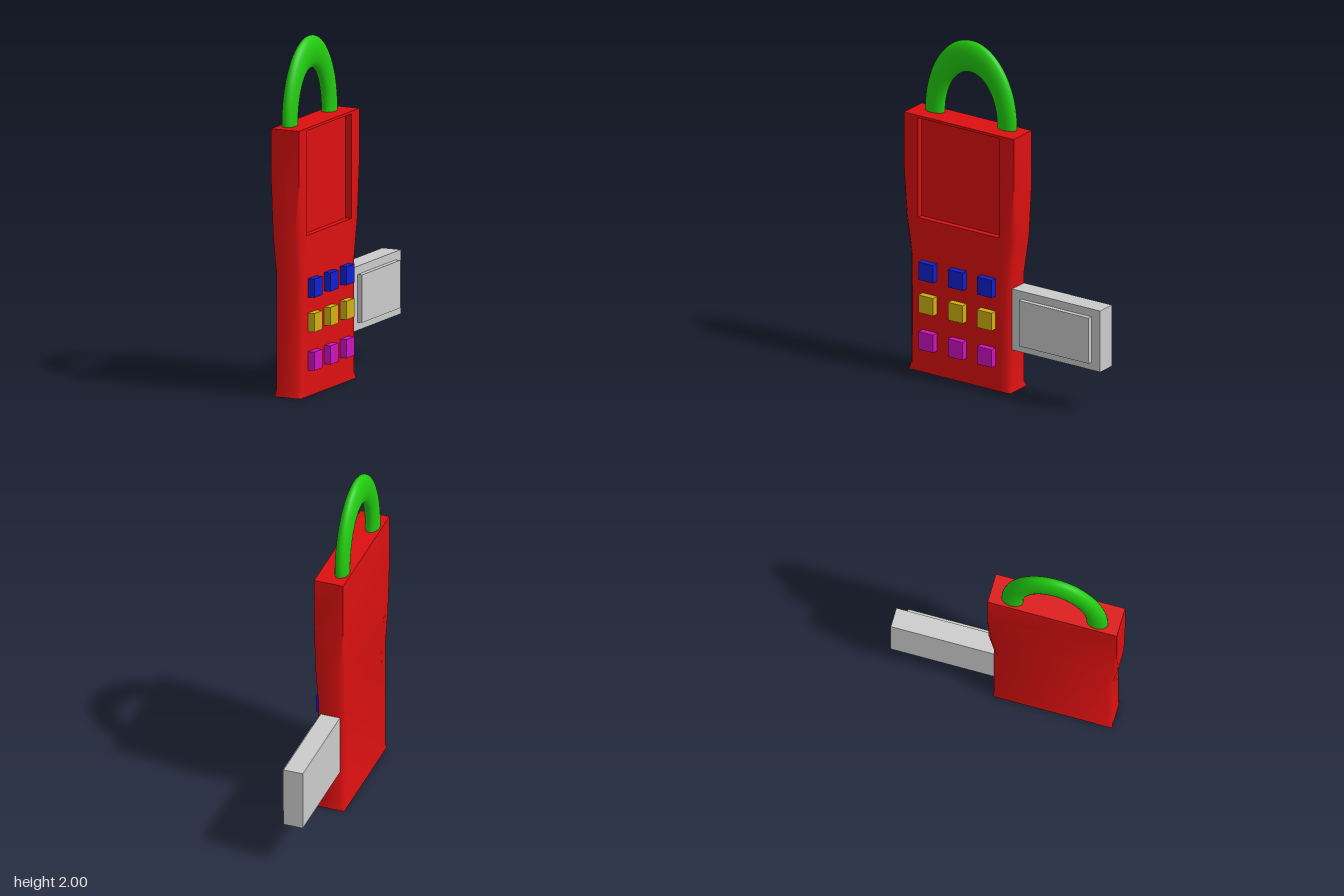
import * as THREE from 'three';
import { toCreasedNormals } from 'three/addons/utils/BufferGeometryUtils.js';

const mat = (color, extra = {}) => new THREE.MeshStandardMaterial({ color, ...extra });

function box(name, material, x0, x1, y0, y1, z0, z1) {
  const mesh = new THREE.Mesh(new THREE.BoxGeometry(x1 - x0, y1 - y0, z1 - z0), material);
  mesh.position.set((x0 + x1) / 2, (y0 + y1) / 2, (z0 + z1) / 2);
  mesh.name = name;
  return mesh;
}

// One horizontal ring of the body: c is the corner chamfer, d the screen recess depth
function ring({ y, xb, xf, z0, z1, c = 0, d = 0 }) {
  return [
    [xf, z1 - c], [xf, 0.565], [xf - d, 0.565], [xf - d, 0.01], [xf, 0.01], [xf, z0 + c],
    [xf - c, z0], [xb + c, z0], [xb, z0 + c], [xb, z1 - c], [xb + c, z1], [xf - c, z1],
  ].map(([x, z]) => new THREE.Vector3(x, y, z));
}

// Skin consecutive rings and close both ends
function loft(rings) {
  const out = [];
  const tri = (a, b, c) => {
    if (new THREE.Triangle(a, b, c).getArea() > 1e-7) for (const p of [a, b, c]) out.push(p.x, p.y, p.z);
  };
  const n = rings[0].length;
  for (let r = 0; r < rings.length - 1; r++) {
    for (let i = 0; i < n; i++) {
      const j = (i + 1) % n, lo = rings[r], hi = rings[r + 1];
      tri(lo[i], lo[j], hi[j]);
      tri(lo[i], hi[j], hi[i]);
    }
  }
  const cap = (pts, up) => {
    const mid = pts.reduce((s, p) => s.add(p), new THREE.Vector3()).divideScalar(n);
    for (let i = 0; i < n; i++) {
      const a = pts[i], b = pts[(i + 1) % n];
      up ? tri(mid, a, b) : tri(mid, b, a);
    }
  };
  cap(rings[0], false);
  cap(rings[rings.length - 1], true);
  const geo = new THREE.BufferGeometry();
  geo.setAttribute('position', new THREE.Float32BufferAttribute(out, 3));
  return toCreasedNormals(geo, 0.9);
}

export function createModel() {
  const model = new THREE.Group();
  model.name = 'keypadDevice';

  // Body: narrow grip, flaring into a wider head with a recessed screen
  const grip = { xb: -0.1, xf: 0.063, z0: -0.06, z1: 0.63 };
  const head = { xb: -0.105, xf: 0.068, z0: -0.09, z1: 0.66 };
  const depth = 0.035;
  const body = new THREE.Mesh(loft([
    { ...grip, y: 0 },
    { ...grip, y: 0.04, c: 0.025 },
    { ...grip, y: 0.69, c: 0.025 },
    { ...head, y: 0.91, c: 0.025 },
    { ...head, y: 0.92, c: 0.024 },
    { ...head, y: 0.92, c: 0.024, d: depth },
    { ...head, y: 1.22, d: depth },
    { ...head, y: 1.515, d: depth },
    { ...head, y: 1.515 },
    { ...head, y: 1.53 },
  ].map(ring)), mat(0xdd1010));
  body.name = 'body';
  model.add(body);

  // Keypad: three coloured rows of three keys
  const keypad = new THREE.Group();
  keypad.name = 'keypad';
  const rows = [[0.617, 0x1020d0], [0.421, 0xd0b010], [0.202, 0xd010c0]];
  for (const [y, color] of rows) {
    const keyMat = mat(color);
    for (const z of [0.487, 0.286, 0.087]) {
      keypad.add(box('key', keyMat, 0.03, 0.102, y - 0.053, y + 0.053, z - 0.05, z + 0.05));
    }
  }
  model.add(keypad);

  // Side tab with a raised panel
  const grey = mat(0xcccccc);
  model.add(box('sideTab', grey, -0.075, 0.04, 0.257, 0.622, -0.66, -0.04));
  model.add(box('sideTabPanel', grey, 0.03, 0.068, 0.303, 0.575, -0.6, -0.125));

  // Carrying loop: stretched half torus whose ends sink into the body
  const dip = 0.15;
  const loopGeo = new THREE.TorusGeometry(0.246, 0.062, 24, 64, Math.PI + 2 * dip);
  loopGeo.rotateZ(-dip);
  loopGeo.scale(1, 1.5, 0.645);
  loopGeo.rotateY(Math.PI / 2);
  const loop = new THREE.Mesh(loopGeo, mat(0x22cc10, { side: THREE.DoubleSide }));
  loop.position.set(-0.053, 1.538, 0.286);
  loop.name = 'carryLoop';
  model.add(loop);

  return model;
}
